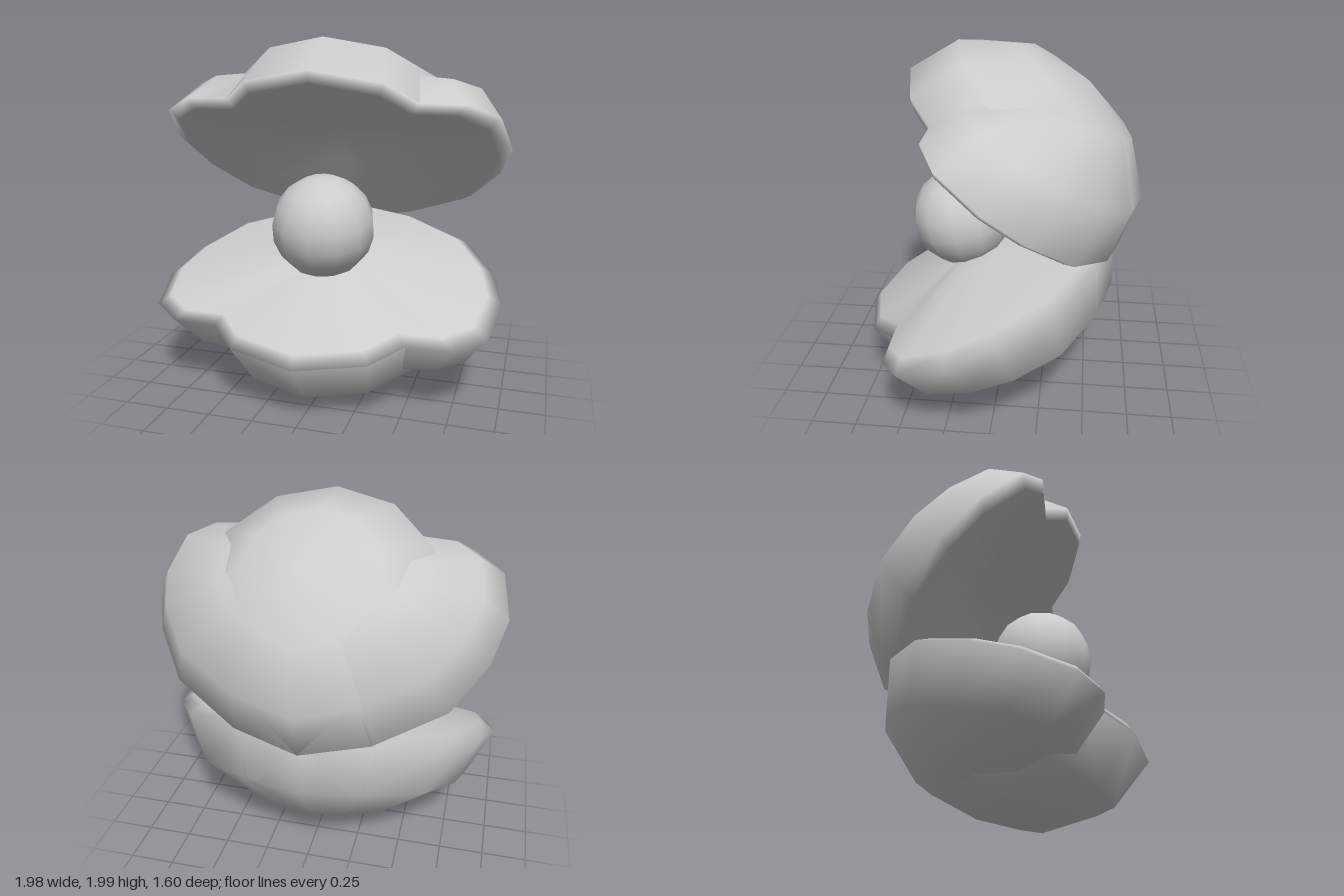
import * as THREE from 'three';

// Half of the rim as [x, z, swell], from the front tip round one side to the hinge
const HALF_RIM = [
  [0, 1.55, 0.5], [0.375, 1.447, 0.5], [0.53, 1.285, 0.46], [0.78, 1.28, 0.42], [0.94, 1.16, 0.46],
  [0.99, 0.88, 0.5], [0.92, 0.62, 0.56], [0.74, 0.33, 0.585], [0.37, 0.1, 0.585], [0, 0, 0.585],
];
const RIM = [...HALF_RIM, ...HALF_RIM.slice(1, -1).reverse().map(([x, z, h]) => [-x, z, h])];
const MID = 0.775;

// Closed body with side lobes: rings of the rim, shrunk towards the middle,
// run from the outer crown over the rim to the middle of the inner face
function lobedBody(material, innerRings, innerMiddle) {
  const n = RIM.length;
  const rings = [];
  for (const angle of [Math.PI / 3, Math.PI / 6, 0]) {
    rings.push({ scale: Math.cos(angle), height: (swell) => swell * Math.sin(angle) });
  }
  for (const [scale, height] of innerRings) rings.push({ scale, height: () => height });

  const positions = [];
  for (const { scale, height } of rings) {
    for (const [x, z, swell] of RIM) positions.push(x * scale, height(swell), MID + (z - MID) * scale);
  }
  const crown = rings.length * n;
  positions.push(0, 0.57, MID, 0, innerMiddle, MID);

  const index = [];
  const lastRing = (rings.length - 1) * n;
  for (let i = 0; i < n; i++) {
    const j = (i + 1) % n;
    index.push(crown, i, j, crown + 1, lastRing + j, lastRing + i);
    for (let r = 0; r < lastRing; r += n) {
      index.push(r + i, r + n + i, r + j, r + j, r + n + i, r + n + j);
    }
  }
  const geo = new THREE.BufferGeometry();
  geo.setAttribute('position', new THREE.Float32BufferAttribute(positions, 3));
  geo.setIndex(index);
  geo.computeVertexNormals();
  const mesh = new THREE.Mesh(geo, material);
  mesh.name = 'lobedBody';
  return mesh;
}

// A shell with its hinge at the origin and its front tip along +z
function shell(material, name, innerRings, innerMiddle) {
  const group = new THREE.Group();
  group.name = name;
  group.add(lobedBody(material, innerRings, innerMiddle));

  // Large middle lobe, a squashed low-poly hemisphere on the rim plane
  const dome = new THREE.SphereGeometry(1, 12, 3, 0, Math.PI * 2, 0, Math.PI / 2);
  dome.scale(0.755, 0.592, 0.775);
  dome.translate(0, 0, MID);
  const centreLobe = new THREE.Mesh(dome, material);
  centreLobe.name = 'centreLobe';
  group.add(centreLobe);
  return group;
}

export function createModel() {
  const model = new THREE.Group();
  model.name = 'openClam';
  const grey = new THREE.MeshStandardMaterial({ color: 0xcccccc });
  grey.name = 'lightGrey';

  // Raised upper shell, hollowed inside
  const upper = shell(grey, 'upperShell', [[0.93, -0.045], [0.3, 0.08]], 0.135);
  upper.position.set(0, 0.84, -0.67);
  upper.rotation.x = -0.699;
  model.add(upper);

  // Lower shell, flipped over, with a gently swollen inside
  const lower = shell(grey, 'lowerShell', [[0.92, -0.05], [0.3, -0.168]], -0.18);
  lower.position.set(0, 0.89, -0.64);
  lower.rotation.set(0.353, 0, Math.PI);
  model.add(lower);

  // Pearl
  const pearl = new THREE.Mesh(new THREE.SphereGeometry(0.289, 12, 9), grey);
  pearl.name = 'pearl';
  pearl.position.set(0, 0.975, 0.25);
  pearl.rotation.x = 0.2;
  model.add(pearl);

  return model;
}
